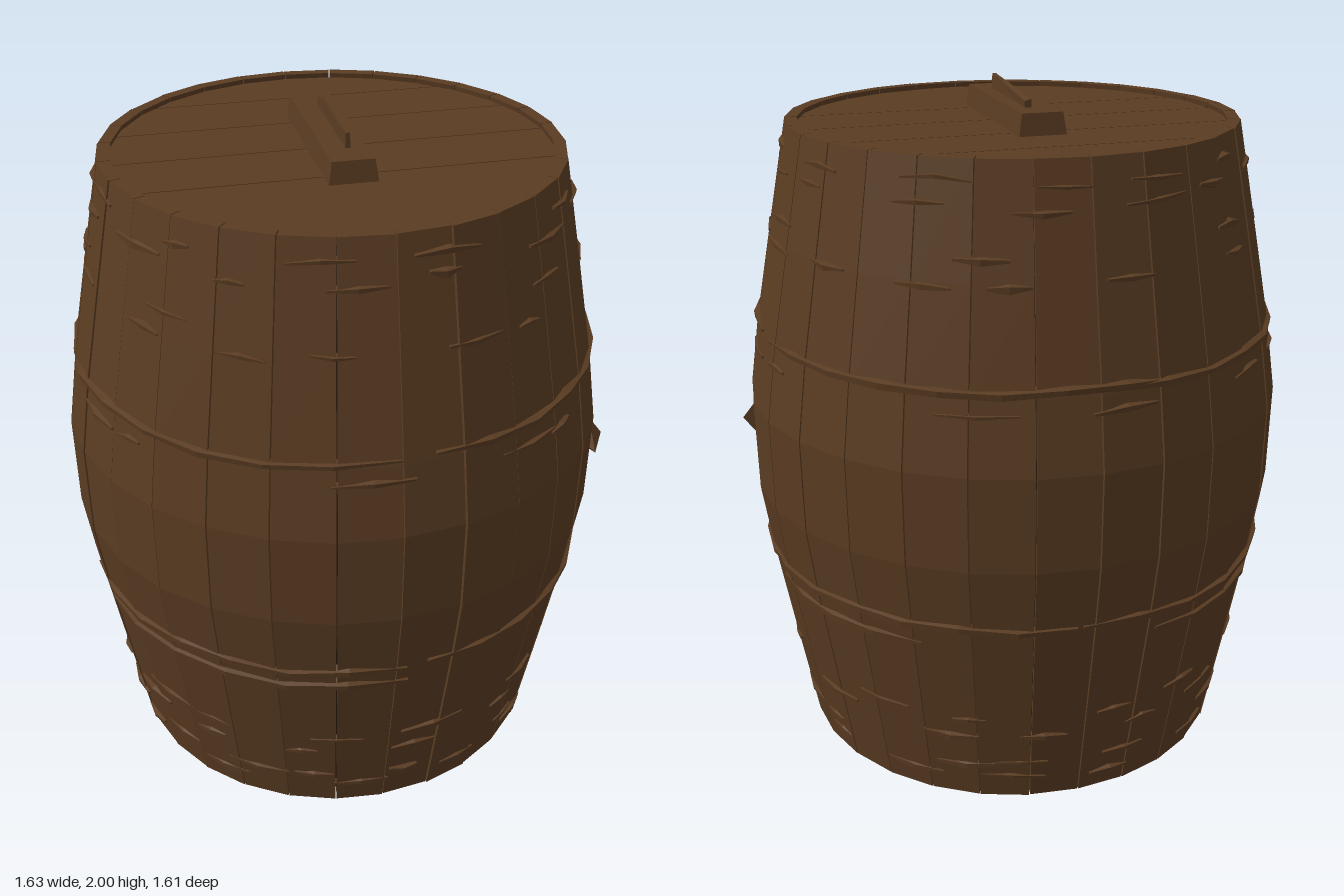
import * as THREE from 'three';
import { mergeGeometries } from 'three/addons/utils/BufferGeometryUtils.js';

// Barrel outline: [radius, height]
const PROFILE = [[0.66, 0], [0.715, 0.3], [0.772, 0.62], [0.802, 0.82], [0.806, 1.1], [0.775, 1.31], [0.72, 1.6], [0.66, 1.91]];
const STAVES = 28;
const STEP = Math.PI * 2 / STAVES;

let seed = 7;
const rand = (a = 0, b = 1) => {
  seed = (seed * 16807) % 2147483647;
  return a + (b - a) * seed / 2147483647;
};

function radiusAt(y) {
  for (let i = 1; i < PROFILE.length; i++) {
    const [r0, y0] = PROFILE[i - 1], [r1, y1] = PROFILE[i];
    if (y <= y1) return r0 + (r1 - r0) * (y - y0) / (y1 - y0);
  }
  return PROFILE[PROFILE.length - 1][0];
}

const polar = (a, r, y) => [Math.sin(a) * r, y, Math.cos(a) * r];

// Closed, flat-faced solid through a row of matching cross-sections
function loft(rings) {
  const out = [], n = rings[0].length, last = rings.length - 1;
  const tri = (...pts) => pts.forEach(p => out.push(...p));
  for (let i = 0; i < last; i++) {
    for (let j = 0; j < n; j++) {
      const k = (j + 1) % n, a = rings[i], b = rings[i + 1];
      tri(a[j], a[k], b[k]);
      tri(a[j], b[k], b[j]);
    }
  }
  for (let j = 1; j < n - 1; j++) {
    tri(rings[0][0], rings[0][j + 1], rings[0][j]);
    tri(rings[last][0], rings[last][j], rings[last][j + 1]);
  }
  const g = new THREE.BufferGeometry();
  g.setAttribute('position', new THREE.Float32BufferAttribute(out, 3));
  g.computeVertexNormals();
  return g;
}

function stave(i) {
  const gap = 0.0025;
  const a0 = i * STEP + gap, a1 = (i + 1) * STEP - gap, bump = rand(-0.002, 0.003);
  return loft(PROFILE.map(([r, y]) => [
    polar(a0, r + bump, y), polar(a1, r + bump, y), polar(a1, r - 0.035, y), polar(a0, r - 0.035, y)
  ]));
}

// Raised strip hugging the barrel, thinning out at both ends
function ridge(a0, a1, y, height, depth, wobble = 0.006) {
  const n = Math.max(2, Math.round((a1 - a0) / STEP));
  const rings = [];
  for (let i = 0; i <= n; i++) {
    const a = a0 + (a1 - a0) * i / n, end = i === 0 || i === n;
    const h = height * (end ? 0.35 : rand(0.7, 1.1)) / 2, d = depth * (end ? 0.3 : rand(0.8, 1.1));
    const yy = y + rand(-wobble, wobble), r = radiusAt(yy);
    rings.push([
      polar(a, radiusAt(yy + h) - 0.015, yy + h), polar(a, r + d, yy + h * 0.5),
      polar(a, r + d * 0.8, yy - h * 0.6), polar(a, radiusAt(yy - h) - 0.015, yy - h)
    ]);
  }
  return loft(rings);
}

// Round board cover sawn into planks running along x
function planks(radius, thickness) {
  const cuts = [-0.999 * radius, -0.44, -0.22, 0, 0.22, 0.999 * radius];
  return mergeGeometries(cuts.slice(1).map((z1, i) => {
    const a = cuts[i] + 0.002, b = z1 - 0.002, right = [], left = [];
    for (let k = 0; k <= 6; k++) {
      const z = a + (b - a) * k / 6, x = Math.sqrt(Math.max(0, radius * radius - z * z));
      right.push(new THREE.Vector2(x, -z));
      left.unshift(new THREE.Vector2(-x, -z));
    }
    const g = new THREE.ExtrudeGeometry(new THREE.Shape([...right, ...left]), { depth: thickness, bevelEnabled: false });
    return g.rotateX(-Math.PI / 2);
  }));
}

export function createModel() {
  seed = 7;
  const model = new THREE.Group();
  const wood = new THREE.MeshStandardMaterial({ color: 0x5a3c22, flatShading: true });
  wood.name = 'brown wood';
  const seam = new THREE.MeshStandardMaterial({ color: 0x2a1b0f });
  seam.name = 'dark seam';
  const add = (name, geometry, material = wood) => {
    const mesh = new THREE.Mesh(geometry, material);
    mesh.name = name;
    model.add(mesh);
    return mesh;
  };

  // Staves around a dark core that shows in the gaps
  add('staves', mergeGeometries(Array.from({ length: STAVES }, (_, i) => stave(i))));
  const core = PROFILE.map(([r, y]) => new THREE.Vector2(r - 0.022, Math.min(1.87, Math.max(0.03, y))));
  add('seamCore', new THREE.LatheGeometry([new THREE.Vector2(0, 0.03), ...core, new THREE.Vector2(0, 1.87)], 56), seam);

  // Lid and base
  add('lid', planks(0.632, 0.03)).position.y = 1.865;
  add('base', planks(0.632, 0.03)).position.y = 0.012;

  // Worn raised hoops, broken into overlapping lengths
  const hoops = [];
  for (const y of [0.625, 1.32]) {
    for (let i = 0; i < 4; i++) {
      const a = i * Math.PI / 2 + rand(-0.15, 0.15);
      hoops.push(ridge(a, a + rand(1.45, 1.75), y + rand(-0.008, 0.008), 0.034, 0.014));
    }
  }
  hoops.push(ridge(-1.35, 0.05, 0.56, 0.042, 0.016), ridge(1.7, 2.5, 0.56, 0.04, 0.014), ridge(3.4, 4.2, 0.56, 0.04, 0.014));
  add('hoops', mergeGeometries(hoops));

  // Rows of small splinters: [height, count]
  const chips = [];
  for (const [y, count] of [[0.07, 12], [0.13, 14], [0.24, 14], [0.3, 13], [1.26, 11], [1.6, 14], [1.67, 6], [1.79, 14], [1.85, 12]]) {
    for (let i = 0; i < count; i++) {
      const a = (i + rand(0, 0.7)) / count * Math.PI * 2;
      chips.push(ridge(a, a + rand(0.12, 0.3), y + rand(-0.012, 0.012), rand(0.02, 0.038), rand(0.006, 0.014)));
    }
  }
  add('splinters', mergeGeometries(chips));

  // Pointed knot on the left side
  const knot = add('knot', new THREE.ConeGeometry(0.06, 0.12, 4));
  knot.position.set(0.765, 0.96, 0.28);
  knot.rotation.set(Math.PI / 2, 0, 0.2);
  knot.scale.set(0.7, 1, 0.9);

  // Lid handle, tapered upward, with a splinter along its top
  const bar = new THREE.BoxGeometry(0.14, 0.07, 0.57);
  const p = bar.attributes.position;
  for (let i = 0; i < p.count; i++) {
    if (p.getY(i) > 0) p.setXYZ(i, p.getX(i) * 0.85, p.getY(i), p.getZ(i) * 0.97);
  }
  const handle = add('handle', bar);
  handle.position.set(-0.005, 1.922, 0);
  handle.rotation.y = -0.015;
  add('handleSplinter', loft([
    [[-0.008, 1.95, 0.185], [0.006, 1.95, 0.185], [0.004, 2, 0.185], [-0.008, 2, 0.185]].reverse(),
    [[0, 1.95, -0.185], [0.02, 1.95, -0.185], [0.022, 1.975, -0.185], [0.002, 1.98, -0.185]].reverse()
  ]));

  return model;
}
